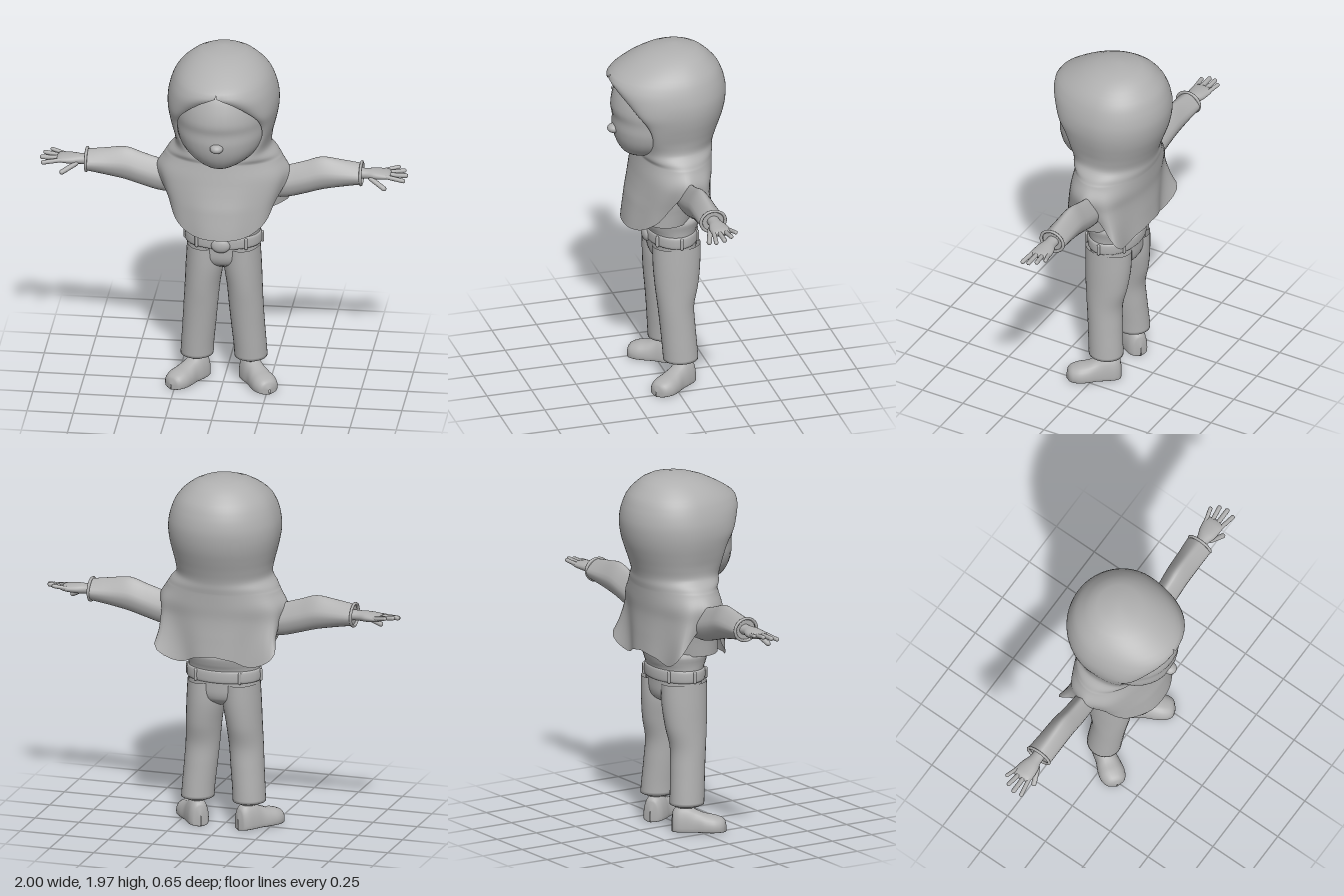
import * as THREE from 'three';
import { mergeVertices } from 'three/addons/utils/BufferGeometryUtils.js';

const grey = new THREE.MeshStandardMaterial({ color: 0xb0b0b0, side: THREE.DoubleSide });
grey.name = 'plain grey';
const { sin, cos, PI, exp, max, sign, abs } = Math;

// Smooth lookup in a table keyed by its first column
function at(table, key) {
  const dir = sign(table[1][0] - table[0][0]);
  let i = 0;
  while (i < table.length - 2 && (key - table[i + 1][0]) * dir > 0) i++;
  const b = table[i], c = table[i + 1];
  const a = table[i - 1] || b, d = table[i + 2] || c;
  const t = THREE.MathUtils.clamp((key - b[0]) / (c[0] - b[0]), 0, 1);
  return b.map((_, k) => b[k] + 0.5 * t * (c[k] - a[k] + t * (2 * a[k] - 5 * b[k] + 4 * c[k] - d[k]
    + t * (3 * (b[k] - c[k]) + d[k] - a[k]))));
}

// Surface from a grid of points: point(u, v) with u along and v around, both 0..1
function surface(name, nu, nv, point) {
  const pos = [], idx = [];
  for (let i = 0; i <= nu; i++) for (let j = 0; j <= nv; j++) {
    pos.push(...point(i / nu, j / nv));
    if (i < nu && j < nv) {
      const a = i * (nv + 1) + j, b = a + nv + 1;
      idx.push(a, b, a + 1, b, b + 1, a + 1);
    }
  }
  let geo = new THREE.BufferGeometry();
  geo.setAttribute('position', new THREE.Float32BufferAttribute(pos, 3));
  geo.setIndex(idx);
  geo = mergeVertices(geo, 1e-4);
  geo.computeVertexNormals();
  return part(name, geo);
}

function part(name, geo, x = 0, y = 0, z = 0) {
  const m = new THREE.Mesh(geo, grey);
  m.name = name;
  m.position.set(x, y, z);
  return m;
}

// Upright loft, rows from top down: [y, centre x, half width, front z, back z]
function upright(name, rows, n = 24) {
  const y0 = rows[0][0], y1 = rows[rows.length - 1][0];
  return surface(name, n, 32, (u, v) => {
    const [y, cx, rx, zf, zb] = at(rows, y0 + (y1 - y0) * u);
    const t = v * 2 * PI;
    return [cx + rx * sin(t), y, (zf + zb) / 2 + (zf - zb) / 2 * cos(t)];
  });
}

// Rounded finger from point a to point b
function finger(name, a, b, r) {
  const p = new THREE.Vector3(...a), q = new THREE.Vector3(...b), d = q.clone().sub(p);
  const m = part(name, new THREE.CapsuleGeometry(r, d.length(), 4, 10));
  m.position.copy(p).add(q).multiplyScalar(0.5);
  m.quaternion.setFromUnitVectors(new THREE.Vector3(0, 1, 0), d.normalize());
  return m;
}

// Head scarf: y, opening half width, front z, half width, middle z, back z
const scarfRows = [
  [1.973, 0, -0.05, 0, -0.05, -0.05], [1.965, 0, 0.03, 0.08, -0.05, -0.13],
  [1.935, 0, 0.13, 0.155, -0.05, -0.2], [1.89, 0, 0.22, 0.215, -0.04, -0.25],
  [1.85, 0, 0.285, 0.25, -0.04, -0.285], [1.82, 0, 0.32, 0.268, -0.04, -0.3],
  [1.78, 0.075, 0.3, 0.284, -0.04, -0.315], [1.72, 0.15, 0.255, 0.298, -0.04, -0.325],
  [1.66, 0.205, 0.21, 0.3, -0.04, -0.322], [1.6, 0.225, 0.165, 0.292, -0.04, -0.31],
  [1.54, 0.228, 0.14, 0.278, -0.04, -0.29], [1.48, 0.21, 0.132, 0.264, -0.04, -0.268],
  [1.42, 0.16, 0.14, 0.262, -0.03, -0.25], [1.38, 0.1, 0.152, 0.295, -0.03, -0.245],
  [1.35, 0, 0.16, 0.315, -0.03, -0.24], [1.27, 0, 0.175, 0.355, -0.03, -0.235],
  [1.2, 0, 0.19, 0.345, -0.02, -0.23], [1.1, 0, 0.215, 0.315, -0.02, -0.235],
  [0.93, 0, 0.24, 0.28, -0.01, -0.245],
];
// Height of the scarf hem by angle from the front
const hem = [[0, 0.94], [0.6, 0.955], [1, 1.03], [1.3, 1.16], [1.55, 1.25], [1.8, 1.17],
  [2.1, 1.04], [2.4, 0.95], [2.75, 0.98], [3.15, 1.0]];

function scarf() {
  return surface('headScarf', 60, 80, (u, v) => {
    const t = abs(v * 2 - 1) * -PI + PI, side = v <= 0.5 ? 1 : -1;
    const d = max(0, (u - 0.66) / 0.34);
    const y = d > 0 ? 1.35 + (at(hem, t)[1] - 1.35) * d : 1.973 - 0.623 * (1 - (1 - u / 0.66) ** 1.5);
    let [, w, zf, rx, zm, zb] = at(scarfRows, y);
    w = y > 1.82 || y <= 1.351 ? 0 : max(0, w);
    const fold = 1 + 0.025 * d * sin(9 * t) * sin(t);
    const corner = d * d * exp(-(((t - 2.15) / 0.22) ** 2));
    const x = t < PI / 2 ? w + (rx - w) * sin(t) : rx * sin(t);
    const z = zm + (t < PI / 2 ? zf - zm : zm - zb) * cos(t);
    return [side * (max(0, x) * fold + 0.085 * corner), y, z * fold - 0.07 * corner];
  });
}

// Sleeve: x, top y, bottom y, middle z, half depth
const sleeveRows = [
  [0.2, 1.26, 1.1, -0.04, 0.06], [0.33, 1.283, 1.1, -0.04, 0.06], [0.44, 1.315, 1.128, -0.04, 0.064],
  [0.53, 1.343, 1.155, -0.043, 0.067], [0.64, 1.33, 1.178, -0.045, 0.07], [0.745, 1.314, 1.197, -0.048, 0.074],
];
// Hand: same columns, from wrist to knuckles
const handRows = [
  [0.7, 1.285, 1.225, -0.05, 0.035], [0.77, 1.283, 1.228, -0.05, 0.035], [0.82, 1.283, 1.228, -0.052, 0.05],
  [0.88, 1.277, 1.235, -0.055, 0.056], [0.905, 1.268, 1.243, -0.055, 0.045], [0.912, 1.256, 1.255, -0.055, 0.002],
];
function sideways(name, rows, peak) {
  const x0 = rows[0][0], x1 = rows[rows.length - 1][0];
  return surface(name, 20, 28, (u, v) => {
    const [x, yt, yb, zc, rz] = at(rows, x0 + (x1 - x0) * u), t = v * 2 * PI;
    const narrow = 1 - peak * max(0, cos(t));
    return [x, (yt + yb) / 2 + (yt - yb) / 2 * cos(t), zc - rz * narrow * sin(t)];
  });
}

function arm() {
  const g = new THREE.Group();
  g.add(sideways('sleeve', sleeveRows, 0.45), sideways('hand', handRows, 0));
  // Turned edge of the sleeve and its inner wall
  const cuff = part('cuff', new THREE.TorusGeometry(0.061, 0.008, 8, 28), 0.744, 1.255, -0.048);
  cuff.rotation.y = PI / 2;
  cuff.scale.x = 1.12;
  const inside = part('cuffInside', new THREE.CircleGeometry(0.06, 28), 0.738, 1.255, -0.048);
  inside.rotation.y = PI / 2;
  g.add(cuff, inside,
    finger('indexFinger', [0.88, 1.257, -0.012], [0.975, 1.245, 0.003], 0.012),
    finger('middleFinger', [0.88, 1.258, -0.04], [0.985, 1.258, -0.04], 0.013),
    finger('ringFinger', [0.88, 1.258, -0.07], [0.972, 1.268, -0.082], 0.012),
    finger('littleFinger', [0.86, 1.258, -0.095], [0.938, 1.272, -0.117], 0.011),
    finger('thumb', [0.8, 1.24, -0.015], [0.872, 1.198, 0.012], 0.014));
  return g;
}

// Shoe: length, half width, top y, sideways shift
const shoeRows = [
  [-0.085, 0.002, 0.06, 0], [-0.078, 0.035, 0.11, 0], [-0.05, 0.055, 0.14, 0], [0, 0.06, 0.145, 0],
  [0.05, 0.06, 0.12, 0.002], [0.1, 0.068, 0.1, 0.004], [0.15, 0.07, 0.09, 0.004], [0.19, 0.055, 0.075, 0.002],
  [0.207, 0.03, 0.055, 0], [0.212, 0.002, 0.03, 0],
];
function shoe() {
  const m = surface('shoe', 36, 28, (u, v) => {
    const [z, w, top, cx] = at(shoeRows, -0.085 + 0.297 * u), t = v * 2 * PI;
    const c = cos(t), h = c < 0 ? -0.028 * (-c) ** 0.35 : (top - 0.028) * c;
    return [cx + w * sign(sin(t)) * abs(sin(t)) ** 0.8, 0.028 + h, z];
  });
  m.position.set(0.152, 0, -0.045);
  m.rotation.y = 0.58;
  return m;
}

function leg() {
  const g = new THREE.Group();
  g.add(upright('trouserLeg', [
    [0.82, 0.1, 0.098, 0.1, -0.165], [0.7, 0.103, 0.102, 0.098, -0.162], [0.58, 0.114, 0.096, 0.09, -0.148],
    [0.46, 0.123, 0.093, 0.077, -0.122], [0.34, 0.132, 0.091, 0.066, -0.126], [0.22, 0.142, 0.089, 0.057, -0.134],
    [0.15, 0.146, 0.089, 0.052, -0.138], [0.138, 0.146, 0.087, 0.051, -0.137], [0.136, 0.146, 0.05, 0.02, -0.1],
  ], 36), shoe());
  // Belt loops at front, side and back
  for (const t of [0.7, 1.6, 2.5]) {
    const loop = part('beltLoop', new THREE.CapsuleGeometry(0.009, 0.05, 3, 8),
      0.209 * sin(t), 0.862, -0.027 + 0.146 * cos(t));
    loop.rotation.y = t;
    g.add(loop);
  }
  return g;
}

export function createModel() {
  const g = new THREE.Group();
  g.name = 'figure';
  g.add(scarf());
  g.add(upright('head', [
    [1.88, 0, 0.002, 0.05, 0.04], [1.86, 0, 0.13, 0.17, -0.1], [1.8, 0, 0.205, 0.245, -0.2],
    [1.72, 0, 0.24, 0.283, -0.25], [1.64, 0, 0.25, 0.3, -0.26], [1.58, 0, 0.25, 0.291, -0.25],
    [1.52, 0, 0.241, 0.292, -0.22], [1.46, 0, 0.215, 0.282, -0.17], [1.41, 0, 0.17, 0.262, -0.1],
    [1.37, 0, 0.105, 0.232, 0], [1.353, 0, 0.05, 0.2, 0.08], [1.35, 0, 0.001, 0.15, 0.149],
  ], 40));
  const nose = part('nose', new THREE.SphereGeometry(1, 20, 14), 0, 1.51, 0.288);
  nose.scale.set(0.036, 0.026, 0.037);
  g.add(nose);
  g.add(upright('shirt', [
    [1.4, 0, 0.1, 0.08, -0.1], [1.3, 0, 0.24, 0.14, -0.14], [1.15, 0, 0.25, 0.175, -0.15],
    [1.05, 0, 0.238, 0.185, -0.14], [0.98, 0, 0.23, 0.19, -0.13],
  ]));
  g.add(upright('trouserTop', [
    [1.0, 0, 0.15, 0.1, -0.14], [0.985, 0, 0.205, 0.135, -0.188], [0.93, 0, 0.2, 0.125, -0.178],
    [0.9, 0, 0.198, 0.11, -0.165], [0.83, 0, 0.197, 0.098, -0.162], [0.76, 0, 0.195, 0.092, -0.158],
    [0.72, 0, 0.14, 0.07, -0.14], [0.69, 0, 0.04, 0.02, -0.09],
  ]));
  g.add(upright('belt', [
    [0.9, 0, 0.19, 0.1, -0.16], [0.893, 0, 0.205, 0.113, -0.169], [0.865, 0, 0.209, 0.116, -0.172],
    [0.835, 0, 0.206, 0.112, -0.169], [0.828, 0, 0.19, 0.09, -0.155],
  ]));
  const buckle = part('buckle', new THREE.SphereGeometry(1, 20, 14), 0, 0.855, 0.108);
  buckle.scale.set(0.052, 0.042, 0.025);
  g.add(buckle);
  // Mirrored limbs
  for (const s of [1, -1]) {
    const a = arm(), l = leg();
    a.name = s > 0 ? 'leftArm' : 'rightArm';
    l.name = s > 0 ? 'leftLeg' : 'rightLeg';
    a.scale.x = l.scale.x = s;
    g.add(a, l);
  }
  return g;
}
